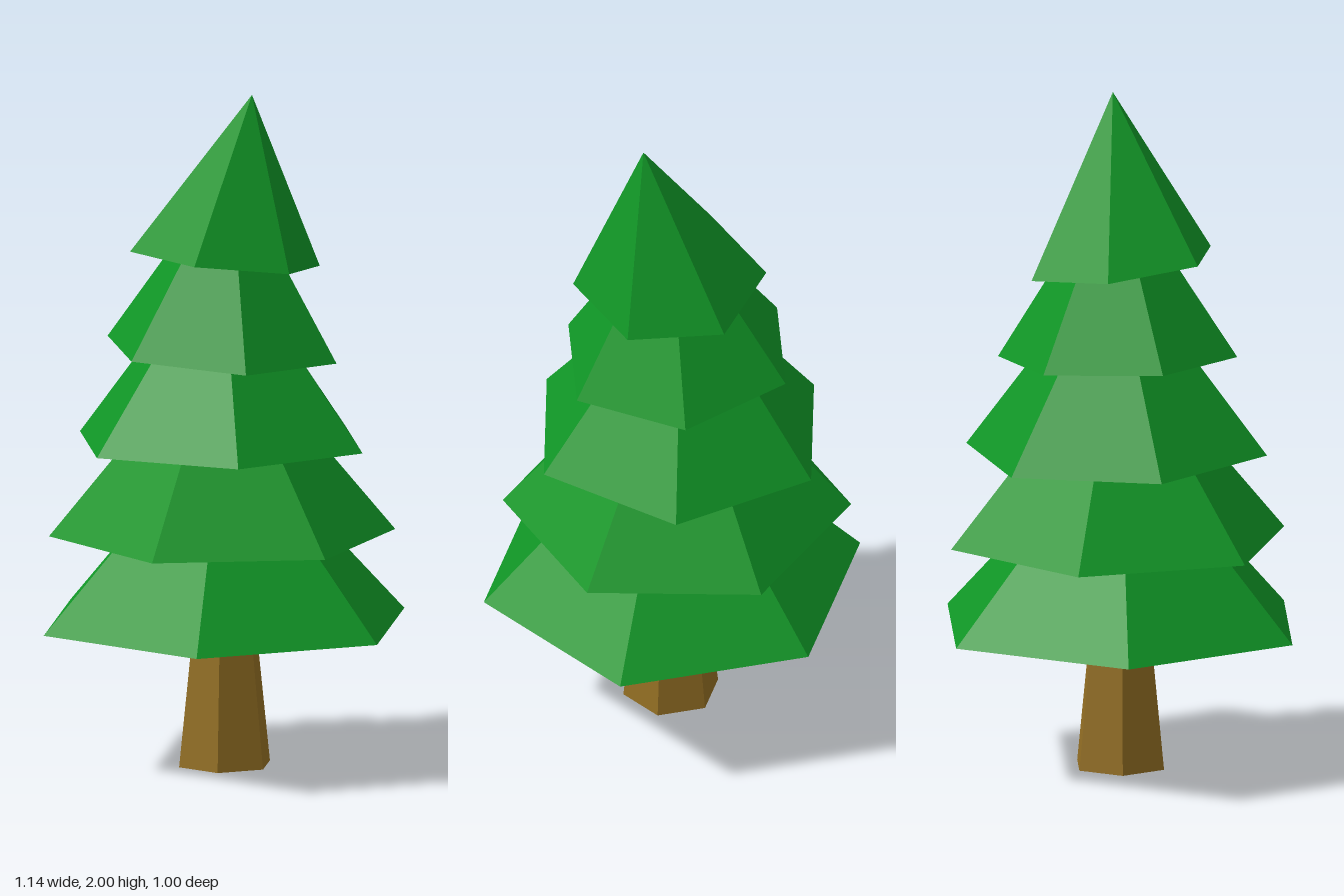
import * as THREE from 'three';

const green = new THREE.MeshStandardMaterial({ color: 0x109526 });
green.name = 'pine green';
const brown = new THREE.MeshStandardMaterial({ color: 0x926e23 });
brown.name = 'bark brown';

// Six-sided tapered solid standing on y = 0; angle (degrees) turns its first corner from +x towards +z
function hexTaper(topRadius, bottomRadius, height, angle) {
  const g = new THREE.CylinderGeometry(topRadius, bottomRadius, height, 6, 1);
  g.translate(0, height / 2, 0);
  g.rotateY(THREE.MathUtils.degToRad(30 - angle));
  return g;
}

// Faceted normals
function facet(geometry) {
  const g = geometry.toNonIndexed();
  g.computeVertexNormals();
  return g;
}

// Foliage cone: tilt slopes the rim, lean shifts the tip sideways
function foliageGeometry({ radius, height, angle, tilt, lean }) {
  const g = hexTaper(0, radius, height, angle);
  const p = g.attributes.position;
  for (let i = 0; i < p.count; i++) {
    const x = p.getX(i), y = p.getY(i), z = p.getZ(i);
    const t = y / height;
    p.setXYZ(i, x + lean[0] * t, y + tilt[0] * x + tilt[1] * z, z + lean[1] * t);
  }
  return facet(g);
}

// Foliage layers, bottom to top
const tiers = [
  { y: 0.422, z: 0.008, radius: 0.568, height: 0.61, angle: 0, tilt: [0, 0], lean: [0, 0] },
  { y: 0.685, z: -0.007, radius: 0.509, height: 0.615, angle: 15.6, tilt: [0, 0], lean: [0, 0] },
  { y: 0.953, z: -0.013, radius: 0.451, height: 0.595, angle: -14.4, tilt: [-0.008, 0.015], lean: [0.004, -0.009] },
  { y: 1.23, z: -0.007, radius: 0.353, height: 0.55, angle: -19.5, tilt: [-0.043, -0.035], lean: [0.02, 0.018] },
  { y: 1.505, z: 0.015, radius: 0.283, height: 0.495, angle: 10.3, tilt: [-0.12, 0.025], lean: [0.06, 0.063] },
];

export function createModel() {
  const tree = new THREE.Group();
  tree.name = 'pineTree';

  // Trunk, its top buried in the lowest foliage
  const trunk = new THREE.Mesh(facet(hexTaper(0.089, 0.143, 0.5, 0)), brown);
  trunk.name = 'trunk';
  trunk.position.z = 0.012;
  tree.add(trunk);

  // Foliage
  tiers.forEach((tier, i) => {
    const mesh = new THREE.Mesh(foliageGeometry(tier), green);
    mesh.name = `foliageTier${i + 1}`;
    mesh.position.set(0, tier.y, tier.z);
    tree.add(mesh);
  });

  return tree;
}
